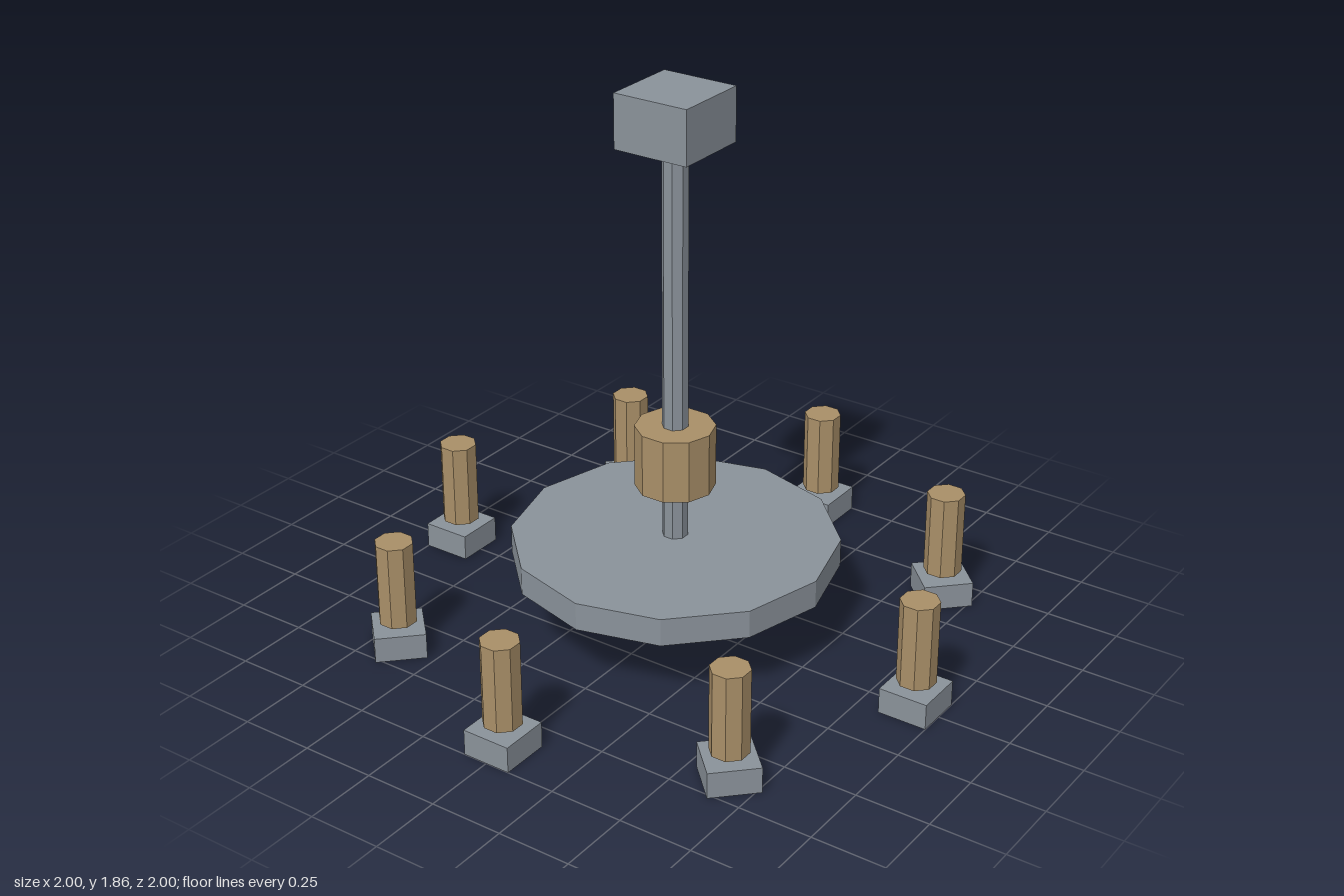
import * as THREE from 'three';

const iron = new THREE.MeshStandardMaterial({ color: 0x8a929a, flatShading: true });
iron.name = 'grey iron';
const wood = new THREE.MeshStandardMaterial({ color: 0xa98f68, flatShading: true });
wood.name = 'tan wood';

// Mesh spanning heights y0 to y1
function part(name, geometry, material, y0, y1) {
  const mesh = new THREE.Mesh(geometry, material);
  mesh.name = name;
  mesh.position.y = (y0 + y1) / 2;
  return mesh;
}

function box(name, size, y0, y1, material) {
  return part(name, new THREE.BoxGeometry(size, y1 - y0, size), material, y0, y1);
}

function prism(name, radius, sides, turn, y0, y1, material) {
  const geometry = new THREE.CylinderGeometry(radius, radius, y1 - y0, sides);
  geometry.rotateY(turn);
  return part(name, geometry, material, y0, y1);
}

export function createModel() {
  const model = new THREE.Group();
  model.name = 'chandelier';

  // Central plate, stem, collar and ceiling block
  model.add(
    prism('centralPlate', 0.542, 12, 0, 0.24, 0.335, iron),
    prism('stem', 0.043, 8, Math.PI / 8, 0.335, 1.68, iron),
    prism('collar', 0.132, 10, Math.PI / 2, 0.517, 0.731, wood),
    box('ceilingBlock', 0.266, 1.68, 1.86, iron)
  );

  // Ring of eight candles on square holders
  for (let i = 0; i < 8; i++) {
    const angle = (i * Math.PI) / 4;
    const light = new THREE.Group();
    light.name = 'candleHolder' + (i + 1);
    light.add(
      box('holderBase', 0.168, 0, 0.088, iron),
      prism('candle', 0.064, 8, Math.PI / 8, 0.105, 0.395, wood)
    );
    light.position.set(Math.sin(angle) * 0.916, 0, Math.cos(angle) * 0.916);
    light.rotation.y = angle;
    model.add(light);
  }
  return model;
}
